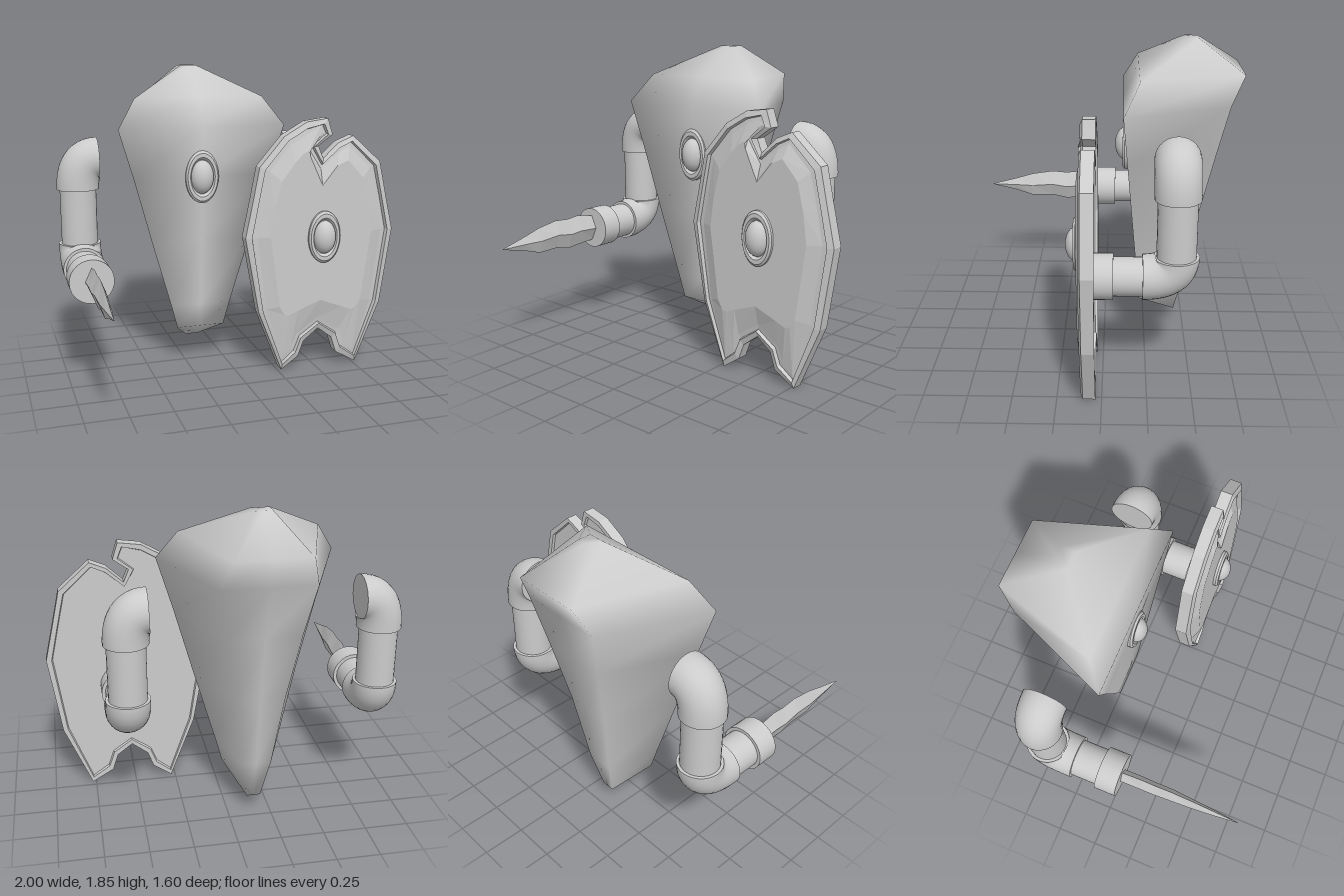
import * as THREE from 'three';
import { toCreasedNormals } from 'three/addons/utils/BufferGeometryUtils.js';

const CX = -0.155; // body centre line
const V = (x, y, z) => new THREE.Vector3(x, y, z);
const smooth = () => new THREE.MeshStandardMaterial({ color: 0xcccccc });
const flat = () => new THREE.MeshStandardMaterial({ color: 0xcccccc, flatShading: true });

function add(parent, name, geometry, material = smooth()) {
  const mesh = new THREE.Mesh(geometry, material);
  mesh.name = name;
  parent.add(mesh);
  return mesh;
}

// Skin through rings of points (counter-clockwise along the travel), capped at both ends.
function loft(rings, project) {
  const n = rings[0].length, last = (rings.length - 1) * n, index = [];
  for (let i = 0; i < rings.length - 1; i++) {
    for (let j = 0; j < n; j++) {
      const k = (j + 1) % n, a = i * n, b = a + n;
      index.push(a + j, a + k, b + k, a + j, b + k, b + j);
    }
  }
  const cap = (ring) => THREE.ShapeUtils.triangulateShape(ring.map(project), []);
  cap(rings[0]).forEach(([a, b, c]) => index.push(a, c, b));
  cap(rings[rings.length - 1]).forEach(([a, b, c]) => index.push(last + a, last + b, last + c));
  const g = new THREE.BufferGeometry().setFromPoints(rings.flat());
  g.setIndex(index);
  g.computeVertexNormals();
  return g;
}
const alongY = (p) => new THREE.Vector2(p.x, -p.z);
const alongZ = (p) => new THREE.Vector2(p.x, p.y);

// Tapered hull: wide flat front, narrower back
function bodyGeometry() {
  const rows = [ // front y, z, half width; back y, z, half width
    [0.23, -0.215, 0.15, 0.10, -0.44, 0.04],
    [0.38, -0.203, 0.19, 0.35, -0.50, 0.085],
    [0.80, -0.168, 0.31, 0.80, -0.57, 0.14],
    [1.20, -0.135, 0.42, 1.20, -0.655, 0.2],
    [1.50, -0.11, 0.51, 1.50, -0.72, 0.255],
    [1.67, -0.20, 0.395, 1.67, -0.80, 0.205],
    [1.85, -0.46, 0.05, 1.85, -0.54, 0.05],
  ];
  return loft(rows.map(([fy, fz, fw, by, bz, bw]) => [
    V(CX - fw, fy, fz), V(CX, fy, fz), V(CX + fw, fy, fz),
    V(CX + bw, by, bz), V(CX, by, bz), V(CX - bw, by, bz),
  ]), alongY);
}

// Oval ring with a dome in the middle
function medallion(name, x, y, z) {
  const group = new THREE.Group();
  group.name = name;
  const profile = [[0.16, 0], [0.16, 0.025], [0.145, 0.037], [0.12, 0.037], [0.105, 0.02], [0, 0.02]]
    .map(([r, h]) => new THREE.Vector2(r, h));
  const ring = new THREE.LatheGeometry(profile, 32).rotateX(Math.PI / 2).scale(0.64, 1, 1);
  add(group, 'ovalRing', toCreasedNormals(ring, 0.6));
  const dome = new THREE.SphereGeometry(1, 28, 10, 0, Math.PI * 2, 0, Math.PI / 2);
  dome.rotateX(Math.PI / 2).scale(0.07, 0.102, 0.065);
  add(group, 'dome', dome).position.z = 0.018;
  group.position.set(x, y, z);
  return group;
}

// Bent pipe with closed ends
function elbow(parent, name, a, b, c, r) {
  const curve = new THREE.QuadraticBezierCurve3(a, b, c);
  add(parent, name, new THREE.TubeGeometry(curve, 14, r, 28));
  for (const t of [0, 1]) {
    const disc = add(parent, name + 'End', new THREE.CircleGeometry(r, 28));
    disc.position.copy(curve.getPoint(t));
    disc.quaternion.setFromUnitVectors(V(0, 0, 1), curve.getTangent(t).multiplyScalar(t ? 1 : -1));
  }
}

function pipe(parent, name, r, from, to) {
  const g = new THREE.CylinderGeometry(r, r, from.distanceTo(to), 28);
  const mesh = add(parent, name, g);
  mesh.position.copy(from).lerp(to, 0.5);
  mesh.quaternion.setFromUnitVectors(V(0, 1, 0), to.clone().sub(from).normalize());
}

// side: -1 for the right arm, +1 for the left arm
function arm(name, side) {
  const g = new THREE.Group(), x = CX + side * 0.715, z = -0.405, y = 0.66;
  g.name = name;
  elbow(g, 'shoulderElbow', V(x, 1.12, z), V(x, 1.302, z), V(x - side * 0.12, 1.302, z), 0.128);
  pipe(g, 'upperArm', 0.11, V(x, 0.74, z), V(x, 1.16, z));
  elbow(g, 'lowerElbow', V(x, 0.785, z), V(x, y, z), V(x, y, -0.22), 0.127);
  pipe(g, 'forearm', 0.11, V(x, y, -0.26), V(x, y, -0.04));
  pipe(g, 'wristCollar', 0.13, V(x, y, -0.06), V(x, y, 0.07));
  return g;
}

// Jagged spike with a diamond section
function bladeGeometry() {
  const x = CX - 0.715;
  const rows = [ // z, top, bottom, half width
    [0.06, 0.74, 0.58, 0.038], [0.2, 0.765, 0.572, 0.038], [0.28, 0.757, 0.565, 0.037],
    [0.38, 0.766, 0.588, 0.035], [0.52, 0.745, 0.585, 0.027], [0.64, 0.71, 0.625, 0.018],
    [0.8, 0.669, 0.664, 0.002],
  ];
  return loft(rows.map(([z, top, low, w]) => {
    const mid = (top + low) / 2;
    return [V(x + w, mid, z), V(x, top, z), V(x - w, mid, z), V(x, low, z)];
  }), alongZ);
}

// Hooked, notched shield: flat rim, groove and raised panel
function shieldGeometry() {
  const outer = [
    [0.553, 1.553], [0.585, 1.455], [0.495, 1.39], [0.527, 1.315], [0.625, 1.405], [0.72, 1.444],
    [0.903, 1.28], [0.95, 1.07], [1, 0.855], [0.93, 0.385], [0.77, 0.003], [0.64, 0.08],
    [0.607, 0.18], [0.516, 0.25], [0.42, 0.175], [0.385, 0.08], [0.275, 0.003], [0.126, 0.385],
    [0.04, 0.855], [0.085, 1.07], [0.126, 1.278], [0.28, 1.455], [0.42, 1.535],
  ];
  const inner = [
    [0.5, 1.49], [0.52, 1.465], [0.43, 1.385], [0.516, 1.25], [0.63, 1.345], [0.7, 1.38],
    [0.84, 1.24], [0.885, 1.05], [0.925, 0.855], [0.865, 0.4], [0.757, 0.08], [0.69, 0.14],
    [0.655, 0.23], [0.516, 0.32], [0.377, 0.23], [0.34, 0.14], [0.28, 0.08], [0.175, 0.4],
    [0.115, 0.855], [0.15, 1.05], [0.19, 1.25], [0.32, 1.4], [0.42, 1.46],
  ];
  const panel = [
    [0.42, 1.37], [0.43, 1.36], [0.435, 1.33], [0.516, 1.155], [0.61, 1.27], [0.68, 1.3],
    [0.78, 1.19], [0.82, 1.03], [0.845, 0.855], [0.785, 0.42], [0.75, 0.37], [0.72, 0.36],
    [0.66, 0.385], [0.516, 0.44], [0.37, 0.385], [0.31, 0.36], [0.28, 0.37], [0.25, 0.42],
    [0.19, 0.855], [0.215, 1.03], [0.255, 1.19], [0.34, 1.3], [0.39, 1.35],
  ];
  // Ring at z, part way t from outline a to outline b
  const ring = (a, b, t, z) => a.map(([x, y], i) =>
    V(x + (b[i][0] - x) * t, y + (b[i][1] - y) * t, z)).reverse();
  return loft([
    ring(outer, inner, 0.5, 0.05),
    ring(outer, inner, 0.42, 0.035),
    ring(outer, inner, 0, 0.035),
    ring(outer, inner, 0, 0.105),
    ring(outer, inner, 0.5, 0.118),
    ring(outer, inner, 0.6, 0.095),
    ring(outer, inner, 1, 0.1),
    ring(inner, panel, 1, 0.132),
  ], alongZ);
}

export function createModel() {
  const model = new THREE.Group();
  model.name = 'shieldBearer';
  add(model, 'body', bodyGeometry());
  model.add(medallion('bodyMedallion', -0.16, 1.2, -0.145));

  const right = arm('rightArm', -1);
  add(right, 'blade', bladeGeometry(), flat());
  const left = arm('leftArm', 1);
  add(left, 'shield', shieldGeometry(), flat());
  left.add(medallion('shieldMedallion', 0.53, 0.84, 0.122));
  model.add(right, left);
  return model;
}
